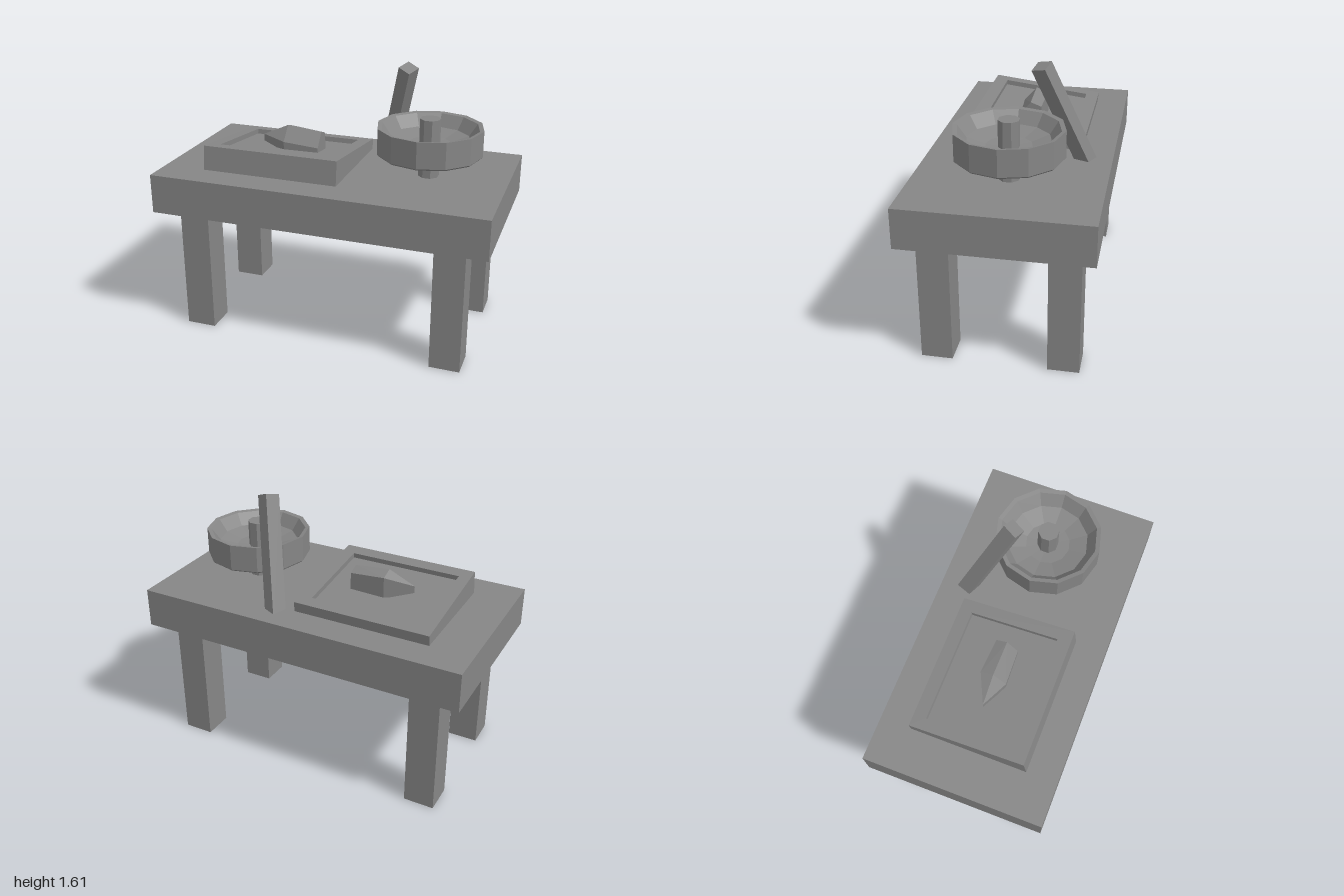
import * as THREE from 'three';
import { ConvexGeometry } from 'three/addons/geometries/ConvexGeometry.js';

const grey = new THREE.MeshStandardMaterial({ color: 0x868686, flatShading: true });
grey.name = 'stone grey';

export function createModel() {
  const model = new THREE.Group();
  model.name = 'workTable';

  function add(name, geometry, x = 0, y = 0, z = 0, parent = model) {
    const mesh = new THREE.Mesh(geometry, grey);
    mesh.name = name;
    mesh.position.set(x, y, z);
    parent.add(mesh);
    return mesh;
  }
  const box = (w, h, d) => new THREE.BoxGeometry(w, h, d);

  // Table
  add('tableTop', box(2, 0.235, 1.07), 0, 0.8825, 0);
  for (const x of [-0.775, 0.775])
    for (const z of [-0.36, 0.36]) add('leg', box(0.18, 0.78, 0.18), x, 0.39, z);

  // Tilted tray: a frame with a sunken floor, its rear sunk into the table
  const tray = new THREE.Group();
  tray.name = 'tray';
  tray.position.set(0, 1.105, 0);
  tray.rotation.x = -0.12;
  model.add(tray);
  const rect = (Type, x0, x1, z0, z1) =>
    new Type([[x0, -z1], [x1, -z1], [x1, -z0], [x0, -z0]].map(p => new THREE.Vector2(...p)));
  const outline = rect(THREE.Shape, -0.745, 0.085, -0.358, 0.335);
  outline.holes.push(rect(THREE.Path, -0.675, 0.01, -0.28, 0.255));
  const frame = new THREE.ExtrudeGeometry(outline, { depth: 0.17, bevelEnabled: false });
  frame.rotateX(-Math.PI / 2);
  add('trayFrame', frame, 0, -0.17, 0, tray);
  add('trayFloor', box(0.685, 0.1, 0.535), -0.3325, -0.08, -0.0125, tray);

  // Pointed stone lying on the tray
  const points = [[-0.505, 1.142, 0], [-0.505, 1.1, 0]];
  for (const [x, top, w] of [[-0.345, 1.215, 0.075], [-0.13, 1.195, 0.065]])
    points.push([x, top, 0], [x, top - 0.085, w], [x, 1.07, w],
      [x, top - 0.025, -w], [x, 1.06, -w]);
  add('pointedStone', new ConvexGeometry(points.map(p => new THREE.Vector3(...p))));

  // Twelve-sided dished wheel on an eight-sided axle
  const profile = [[0, 1.135], [0.3, 1.135], [0.31, 1.145], [0.31, 1.3], [0.285, 1.295],
    [0.235, 1.225], [0.13, 1.195], [0, 1.185]].map(p => new THREE.Vector2(...p));
  add('wheel', new THREE.LatheGeometry(profile, 12), 0.535, 0, 0);
  const axle = new THREE.CylinderGeometry(0.061, 0.061, 0.655, 8);
  axle.rotateY(Math.PI / 8);
  add('axle', axle, 0.535, 1.0175, 0);

  // Leaning square bar, its foot buried in the table top
  const top = new THREE.Vector3(0.36, 1.59, -0.145);
  const along = new THREE.Vector3(0.165, 0.6, 0.235).normalize();
  const across = new THREE.Vector3(0.07, -0.03, 0.025);
  across.addScaledVector(along, -across.dot(along)).normalize();
  const side = new THREE.Vector3().crossVectors(across, along);
  const length = 0.74;
  const bar = add('leaningBar', box(0.08, length, 0.09));
  bar.quaternion.setFromRotationMatrix(new THREE.Matrix4().makeBasis(across, along, side));
  bar.position.copy(top).addScaledVector(along, -length / 2);

  return model;
}
